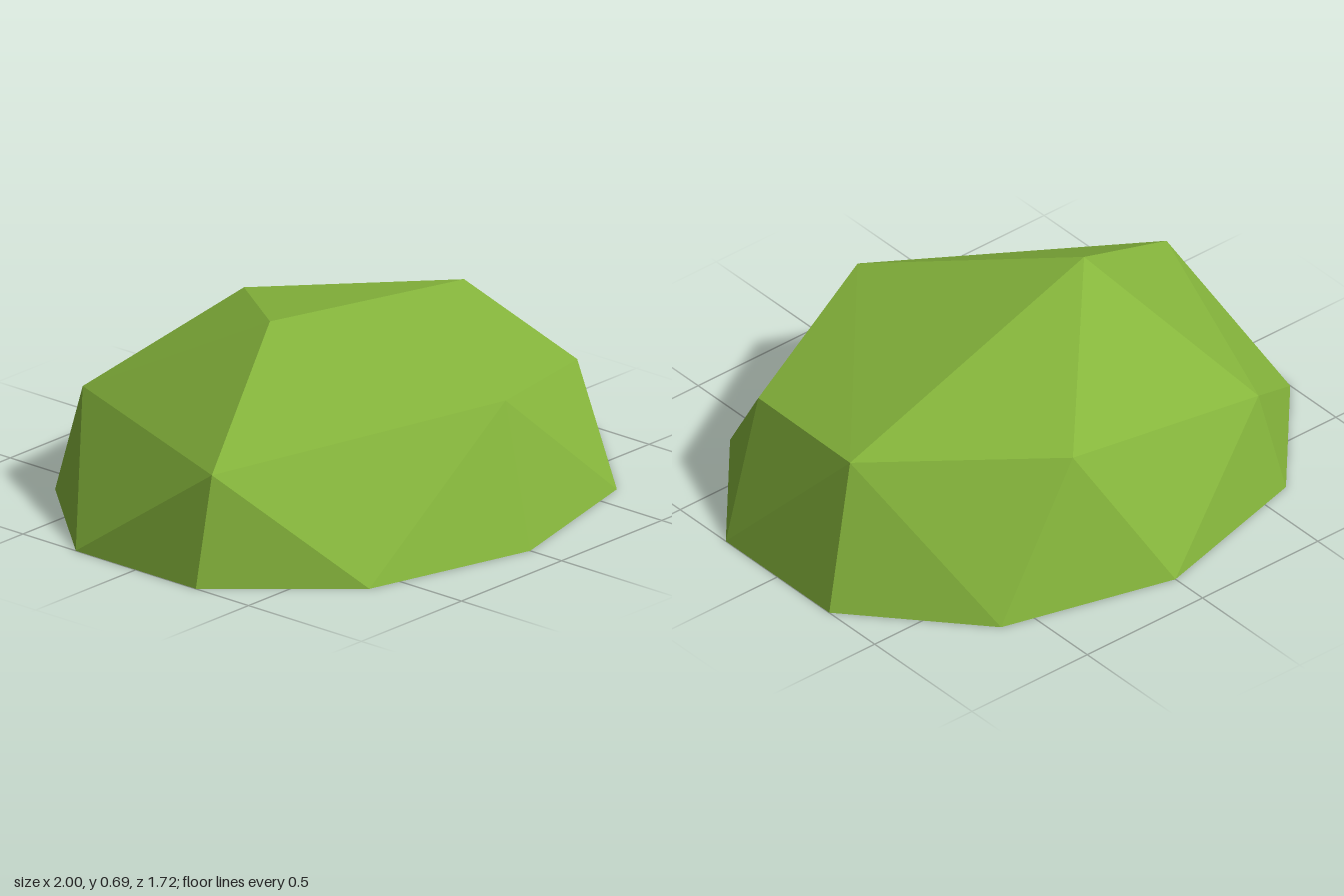
import * as THREE from 'three';

export function createModel() {
  const green = new THREE.MeshStandardMaterial({ color: 0x86b63c });
  green.name = 'leafGreen';

  // Ten-sided oval footprint, counter-clockwise from the front
  const base = [];
  for (let i = 0; i < 10; i++) {
    const a = (i * Math.PI) / 5;
    base.push([1.051 * Math.sin(a), 0, 0.861 * Math.cos(a)]);
  }

  // Uneven shoulder: each corner fans down to base corners from..to
  const shoulder = [
    { p: [0.07, 0.47, 0.69], from: 9, to: 11 },
    { p: [0.72, 0.365, 0.43], from: 1, to: 2 },
    { p: [0.82, 0.47, -0.16], from: 2, to: 4 },
    { p: [0.25, 0.485, -0.63], from: 4, to: 5 },
    { p: [-0.555, 0.365, -0.63], from: 5, to: 7 },
    { p: [-0.89, 0.365, 0.24], from: 7, to: 9 },
  ];
  const peak = [-0.33, 0.69, 0];

  const positions = [];
  const tri = (a, b, c) => positions.push(...a, ...b, ...c);

  // Sides
  shoulder.forEach(({ p, from, to }, j) => {
    const next = shoulder[(j + 1) % shoulder.length].p;
    for (let i = from; i < to; i++) tri(base[i % 10], base[(i + 1) % 10], p);
    tri(base[to % 10], next, p);
  });

  // Sloping top: the low front corner is cut off by its own facet
  const top = shoulder.map((s) => s.p);
  const rim = top.filter((_, j) => j !== 1);
  rim.forEach((p, j) => tri(p, rim[(j + 1) % rim.length], peak));
  tri(top[0], top[1], top[2]);

  // Flat underside
  for (let i = 1; i < 9; i++) tri(base[0], base[i + 1], base[i]);

  const geometry = new THREE.BufferGeometry();
  geometry.setAttribute('position', new THREE.Float32BufferAttribute(positions, 3));
  geometry.computeVertexNormals(); // unshared corners give flat facets

  const mound = new THREE.Mesh(geometry, green);
  mound.name = 'facetedMound';
  const group = new THREE.Group();
  group.name = 'bush';
  group.add(mound);
  return group;
}
